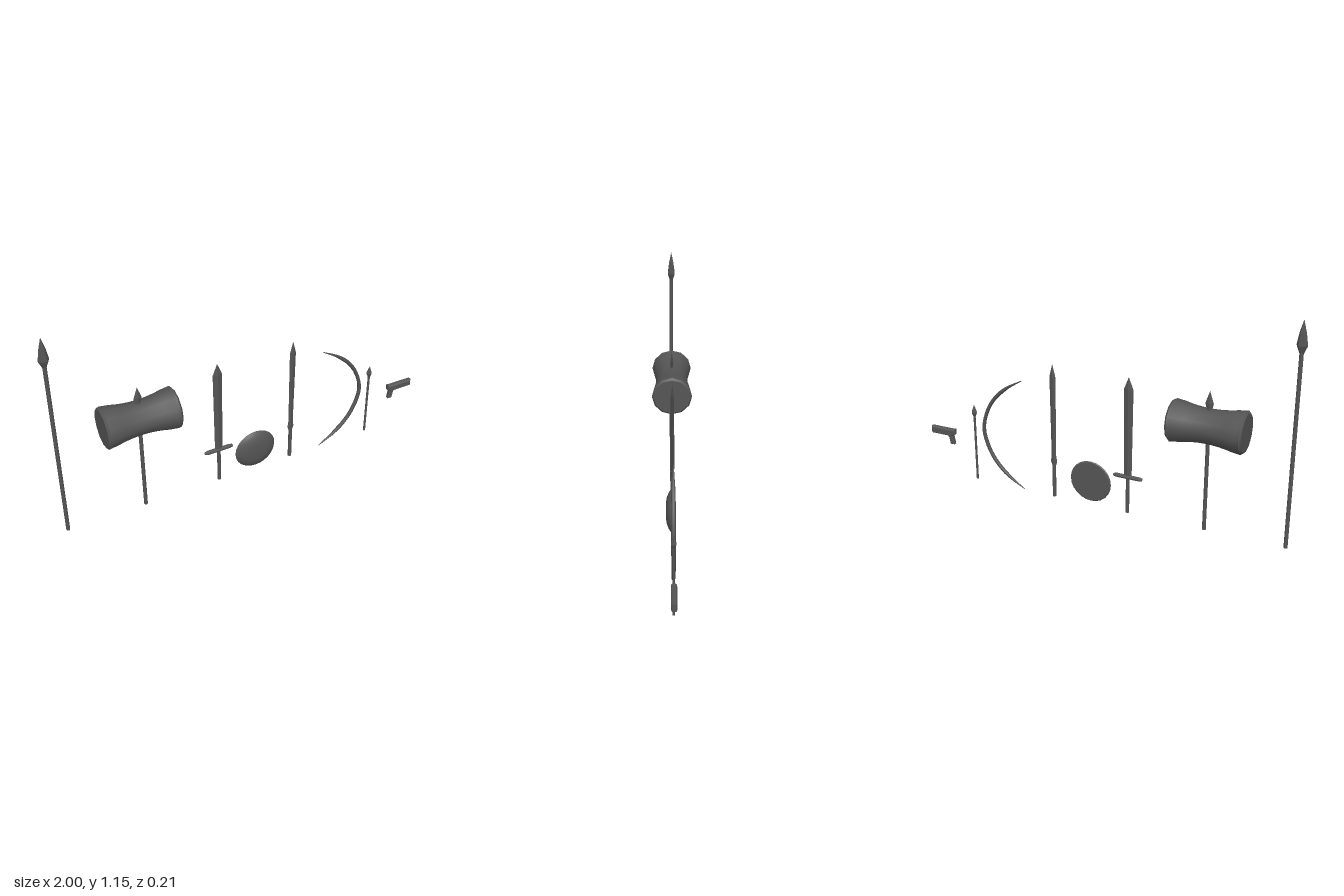
import * as THREE from 'three';
import { toCreasedNormals } from 'three/addons/utils/BufferGeometryUtils.js';

const flat = new THREE.MeshStandardMaterial({ color: 0x555555, flatShading: true });
const smooth = new THREE.MeshStandardMaterial({ color: 0x555555 });

// Turned profile of [radius, height] pairs, bottom to top
function turned(profile, sides, phiStart = Math.PI / 2) {
  return new THREE.LatheGeometry(profile.map(([r, y]) => new THREE.Vector2(r, y)), sides, phiStart);
}

// Faceted upright piece, flattened in z
function facetedPart(name, profile, sides = 6, depth = 1) {
  const mesh = new THREE.Mesh(turned(profile, sides).scale(1, 1, depth), flat);
  mesh.name = name;
  return mesh;
}

function shaft(name, radius, y0, y1) {
  return facetedPart(name, [[0, y0], [radius, y0], [radius, y1], [0, y1]], 8);
}

function weapon(name, x, ...parts) {
  const group = new THREE.Group();
  group.name = name;
  group.position.x = x;
  group.add(...parts);
  return group;
}

function makeSpear() {
  return weapon('spear', -0.975,
    shaft('spearShaft', 0.01, 0, 1),
    facetedPart('spearHead', [[0, 0.985], [0.01, 0.99], [0.026, 1.03], [0.016, 1.09], [0, 1.15]], 6, 0.85));
}

function makeHammer() {
  // Waisted drum with bevelled rims, lying along x
  const profile = [[0, -0.188], [0.096, -0.188], [0.106, -0.178], [0.104, -0.165]];
  for (let i = -4; i <= 4; i++) {
    const t = i / 5;
    profile.push([0.085 + 0.019 * t * t * 1.25, t * 0.165]);
  }
  profile.push([0.104, 0.165], [0.106, 0.178], [0.096, 0.188], [0, 0.188]);
  const geometry = toCreasedNormals(turned(profile, 12, 0).rotateZ(-Math.PI / 2), 0.6);
  const head = new THREE.Mesh(geometry, smooth);
  head.name = 'hammerHead';
  head.position.y = 0.56;
  return weapon('hammer', -0.563,
    shaft('hammerHandle', 0.01, 0, 0.65), head,
    facetedPart('hammerSpike', [[0, 0.63], [0.01, 0.63], [0.021, 0.677], [0, 0.74]], 4, 0.4));
}

function makeSword() {
  const guard = facetedPart('swordGuard',
    [[0, -0.08], [0.007, -0.077], [0.011, -0.06], [0.011, 0.06], [0.007, 0.077], [0, 0.08]], 8);
  guard.rotation.z = Math.PI / 2;
  guard.position.y = 0.2;
  return weapon('sword', -0.152,
    shaft('swordGrip', 0.01, 0, 0.2), guard,
    facetedPart('swordBlade', [[0, 0.19], [0.021, 0.2], [0.025, 0.675], [0, 0.74]], 4, 0.35));
}

function makeShield() {
  // Shallow dome with a flat back, facing +z
  const profile = [[0, -0.003], [0.108, -0.003], [0.113, 0.002], [0.107, 0.01], [0.09, 0.021],
    [0.065, 0.03], [0.045, 0.033], [0, 0.034]];
  const geometry = toCreasedNormals(turned(profile, 24).rotateX(Math.PI / 2), 0.6);
  const dome = new THREE.Mesh(geometry, smooth);
  dome.name = 'shieldDome';
  dome.position.y = 0.13;
  return weapon('shield', 0.054, dome);
}

function makeShortSword() {
  return weapon('narrowSword', 0.262,
    shaft('narrowSwordGrip', 0.01, 0, 0.19),
    facetedPart('narrowSwordBlade',
      [[0, 0.17], [0.01, 0.175], [0.018, 0.2], [0.013, 0.235], [0.017, 0.67], [0, 0.74]], 4, 0.4));
}

function makeBow() {
  const upper = [[0.441, 0.617], [0.525, 0.565], [0.595, 0.5], [0.645, 0.42]];
  const lower = upper.map(([x, y]) => [x, 0.617 - y]).reverse();
  const path = new THREE.CatmullRomCurve3(
    [...upper, [0.673, 0.3085], ...lower].map(([x, y]) => new THREE.Vector3(x, y, 0)));
  const steps = 36, sides = 8;
  const geometry = new THREE.TubeGeometry(path, steps, 0.01, sides);
  // Taper the tube towards both tips
  const position = geometry.attributes.position;
  const vertex = new THREE.Vector3();
  for (let i = 0; i <= steps; i++) {
    const t = i / steps;
    const centre = path.getPointAt(t);
    const taper = 0.2 + 0.8 * Math.min(1, Math.min(t, 1 - t) * 6);
    for (let j = 0; j <= sides; j++) {
      const k = i * (sides + 1) + j;
      vertex.fromBufferAttribute(position, k).sub(centre).multiplyScalar(taper).add(centre);
      position.setXYZ(k, vertex.x, vertex.y, vertex.z);
    }
  }
  const limb = new THREE.Mesh(geometry, new THREE.MeshStandardMaterial({ color: 0x555555, side: THREE.DoubleSide }));
  limb.name = 'bowLimbs';
  return weapon('bow', 0, limb);
}

function makeArrow() {
  return weapon('arrow', 0.729,
    shaft('arrowShaft', 0.006, 0, 0.375),
    facetedPart('arrowHead', [[0, 0.362], [0.006, 0.365], [0.016, 0.39], [0, 0.435]], 6, 0.9));
}

// Side outline extruded across z with a chamfer
function chamferedPart(name, outline, width, bevel) {
  const shape = new THREE.Shape(outline.map(([x, y]) => new THREE.Vector2(x, y)));
  const depth = width - 2 * bevel;
  const geometry = new THREE.ExtrudeGeometry(shape, {
    depth, bevelThickness: bevel, bevelSize: bevel, bevelOffset: -bevel, bevelSegments: 1
  }).translate(0, 0, -depth / 2);
  const mesh = new THREE.Mesh(geometry, flat);
  mesh.name = name;
  return mesh;
}

function makePistol() {
  return weapon('pistol', 0,
    chamferedPart('pistolBarrel',
      [[0.853, 0.238], [0.868, 0.226], [0.998, 0.226], [0.998, 0.266], [0.862, 0.266], [0.853, 0.268]], 0.028, 0.006),
    chamferedPart('pistolGrip',
      [[0.859, 0.18], [0.884, 0.18], [0.893, 0.235], [0.868, 0.235]], 0.024, 0.004),
    chamferedPart('pistolTrigger',
      [[0.888, 0.214], [0.896, 0.217], [0.9, 0.23], [0.888, 0.23]], 0.01, 0.001));
}

export function createModel() {
  const model = new THREE.Group();
  model.name = 'weaponSet';
  model.add(makeSpear(), makeHammer(), makeSword(), makeShield(),
    makeShortSword(), makeBow(), makeArrow(), makePistol());
  return model;
}
